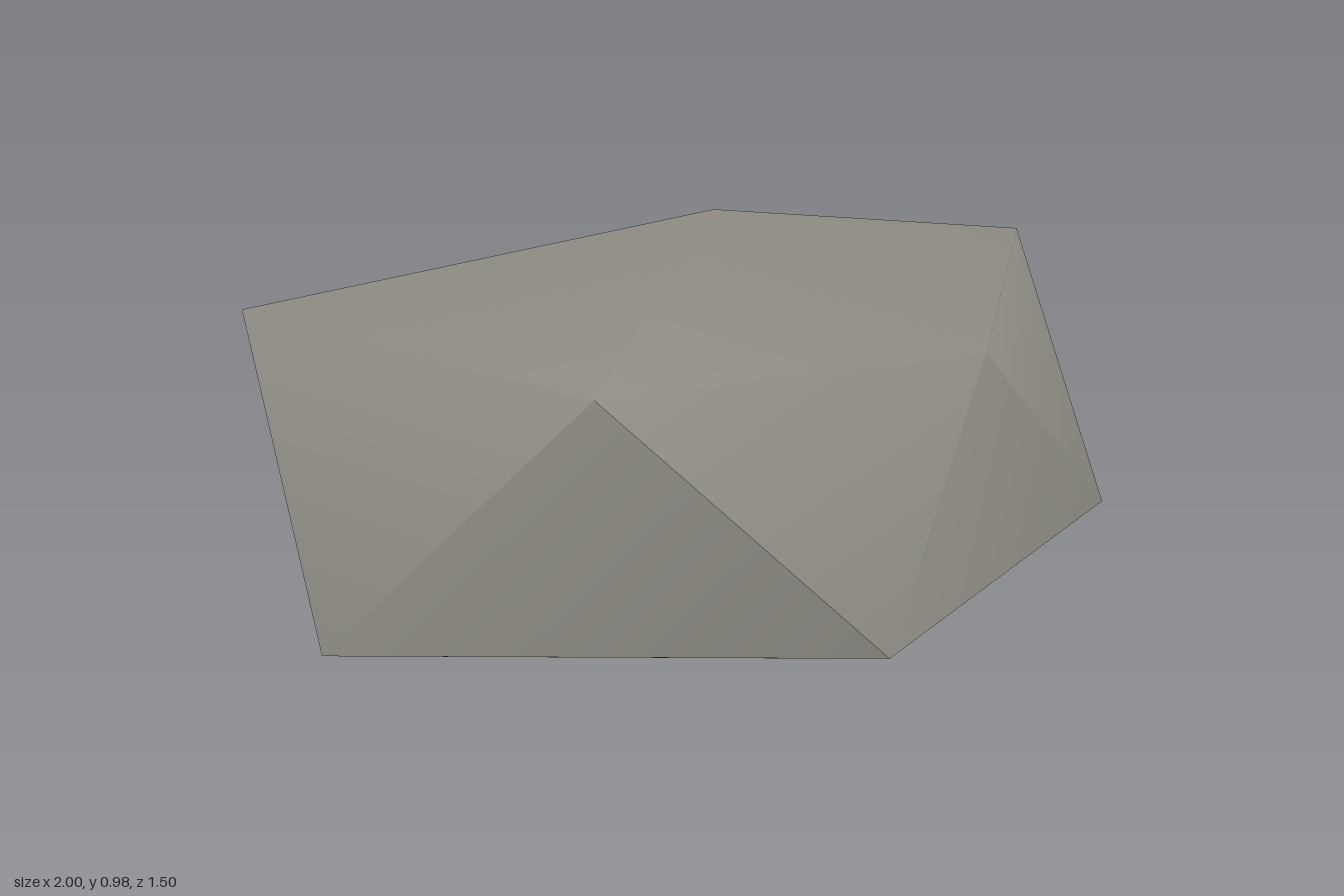
import * as THREE from 'three';
import { toCreasedNormals } from 'three/addons/utils/BufferGeometryUtils.js';

// Faceted rock: a squashed, irregular twenty-sided solid built from two rings and two tips.
export function createModel() {
  const group = new THREE.Group();
  group.name = 'rock';

  const stone = new THREE.MeshStandardMaterial({ color: 0x8b8981 });
  stone.name = 'stone grey';

  const top = [0, 0.98, 0];
  const bottom = [0, 0, 0];
  // Both rings run counter-clockwise seen from above; lower points sit between upper ones.
  const upper = [[1, 0.815, 0], [0.285, 0.79, -0.725], [-0.81, 0.815, -0.505], [-0.68, 0.775, 0.4], [0.22, 0.735, 0.545]];
  const lower = [[0.81, 0.275, -0.5], [-0.285, 0.29, -0.75], [-1, 0.275, 0], [-0.285, 0.285, 0.75], [0.765, 0.29, 0.45]];

  const positions = [];
  const face = (a, b, c) => positions.push(...a, ...b, ...c);
  for (let i = 0; i < 5; i++) {
    const j = (i + 1) % 5;
    face(top, upper[i], upper[j]); // crown
    face(upper[i], lower[i], upper[j]); // sides
    face(lower[i], lower[j], upper[j]);
    face(bottom, lower[j], lower[i]); // underside
  }

  const geometry = new THREE.BufferGeometry();
  geometry.setAttribute('position', new THREE.Float32BufferAttribute(positions, 3));

  // Soft shading across shallow edges, crisp steep ones
  const body = new THREE.Mesh(toCreasedNormals(geometry, THREE.MathUtils.degToRad(50)), stone);
  body.name = 'rockBody';
  group.add(body);
  return group;
}
